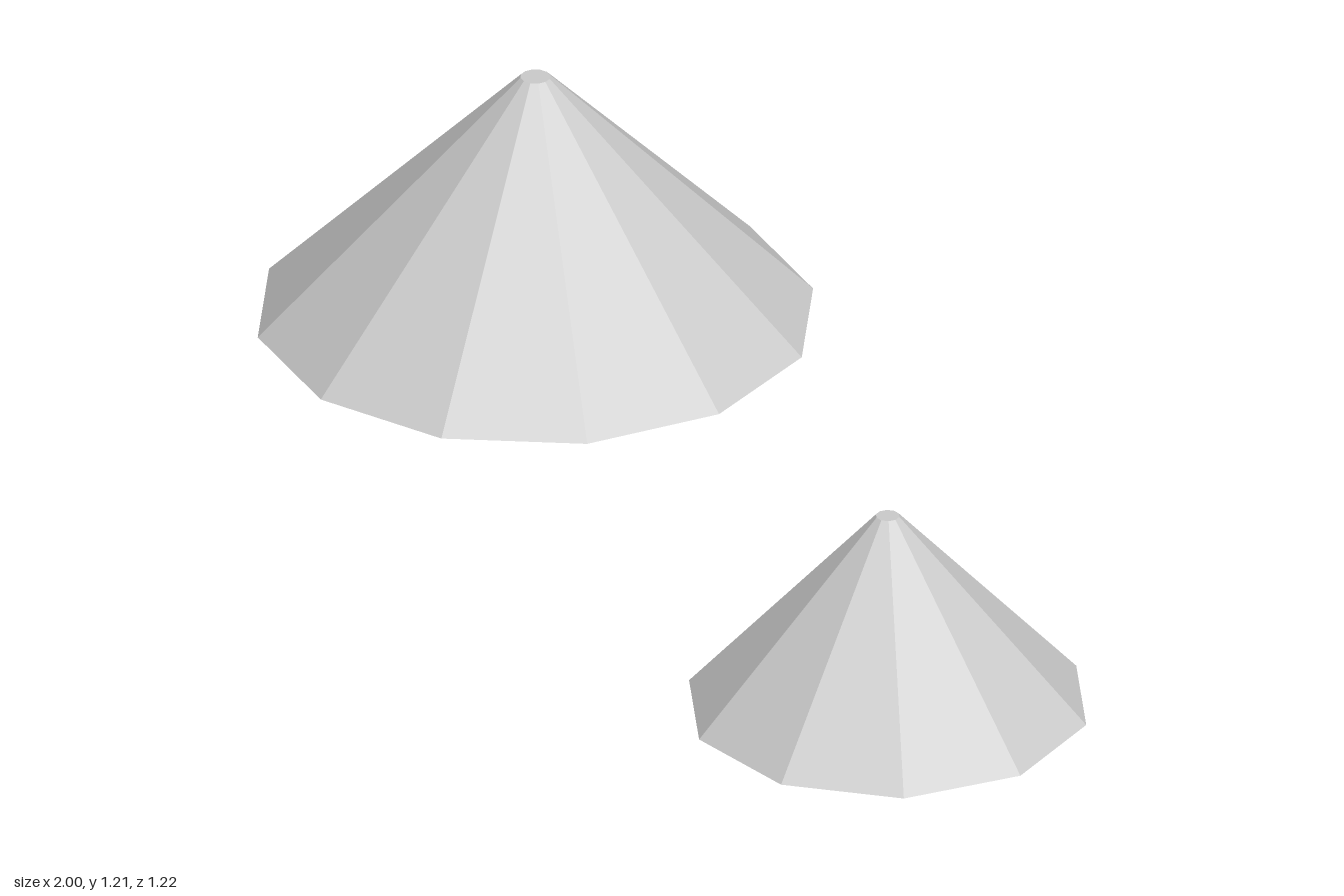
import * as THREE from 'three';

// Open-bottomed faceted canopy with a small flat cap
function makeCanopy(name, { x, y, z, radius, topRadius, height, sides }, material) {
  const canopy = new THREE.Group();
  canopy.name = name;
  canopy.position.set(x, y, z);

  const shell = new THREE.Mesh(
    new THREE.CylinderGeometry(topRadius, radius, height, sides, 1, true, Math.PI / 2),
    material
  );
  shell.name = name + 'Shell';
  shell.position.y = height / 2;

  const cap = new THREE.Mesh(new THREE.CircleGeometry(topRadius, sides), material);
  cap.name = name + 'Cap';
  cap.rotation.x = -Math.PI / 2;
  cap.position.y = height;

  canopy.add(shell, cap);
  return canopy;
}

export function createModel() {
  const grey = new THREE.MeshStandardMaterial({
    color: 0xcccccc,
    flatShading: true,
    side: THREE.DoubleSide,
  });
  grey.name = 'light grey';

  const model = new THREE.Group();
  model.name = 'canopies';
  model.add(
    makeCanopy('largeCanopy',
      { x: -0.39, y: 0.635, z: 0, radius: 0.61, topRadius: 0.033, height: 0.579, sides: 12 }, grey),
    makeCanopy('smallCanopy',
      { x: 0.558, y: 0, z: -0.19, radius: 0.441, topRadius: 0.026, height: 0.458, sides: 10 }, grey)
  );
  return model;
}
